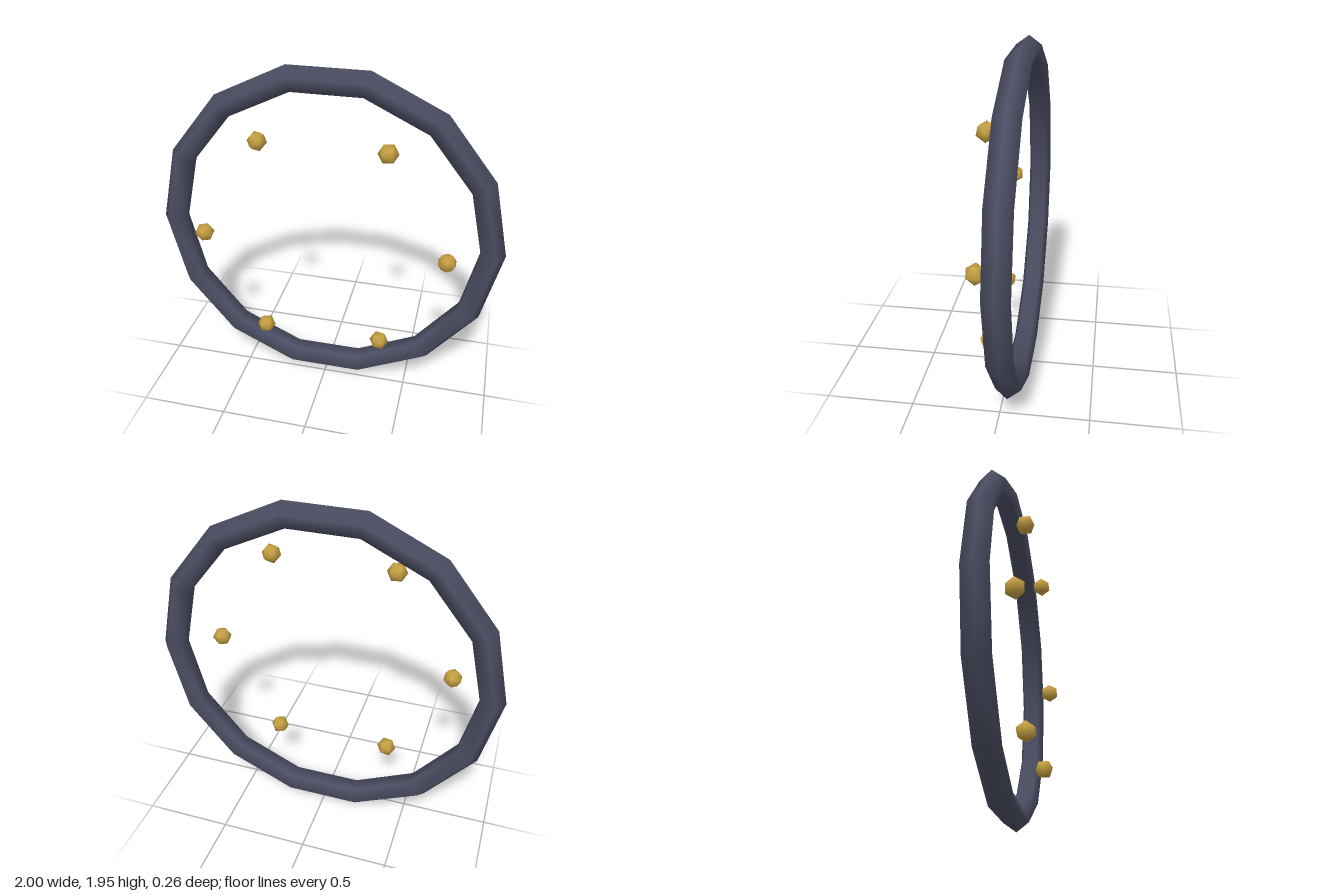
import * as THREE from 'three';

export function createModel() {
  const model = new THREE.Group();
  const slate = new THREE.MeshStandardMaterial({ color: 0x4b4e63 });
  slate.name = 'slate';
  const gold = new THREE.MeshStandardMaterial({ color: 0xc9a243 });
  gold.name = 'gold';
  const centreY = 0.975;

  // Fourteen-sided ring with a five-sided tube
  const ring = new THREE.Mesh(new THREE.TorusGeometry(0.927, 0.073, 5, 14), slate);
  ring.name = 'ring';
  ring.position.set(0, centreY, -0.06);
  model.add(ring);

  // Smooth-shaded twenty-sided stud: normals point away from its centre
  const studGeometry = new THREE.IcosahedronGeometry(0.056, 0);
  const normal = studGeometry.attributes.normal;
  const p = new THREE.Vector3();
  for (let i = 0; i < normal.count; i++) {
    p.fromBufferAttribute(studGeometry.attributes.position, i).normalize();
    normal.setXYZ(i, p.x, p.y, p.z);
  }

  // Six studs floating in front of the ring, each turned with its angle
  const studs = new THREE.Group();
  studs.name = 'studs';
  studs.position.set(0, centreY, 0.08);
  for (let i = 0; i < 6; i++) {
    const angle = (i * Math.PI) / 3;
    const stud = new THREE.Mesh(studGeometry, gold);
    stud.name = `stud${i + 1}`;
    stud.position.set(0.694 * Math.cos(angle), 0.694 * Math.sin(angle), 0);
    stud.rotation.z = angle;
    studs.add(stud);
  }
  model.add(studs);

  return model;
}
